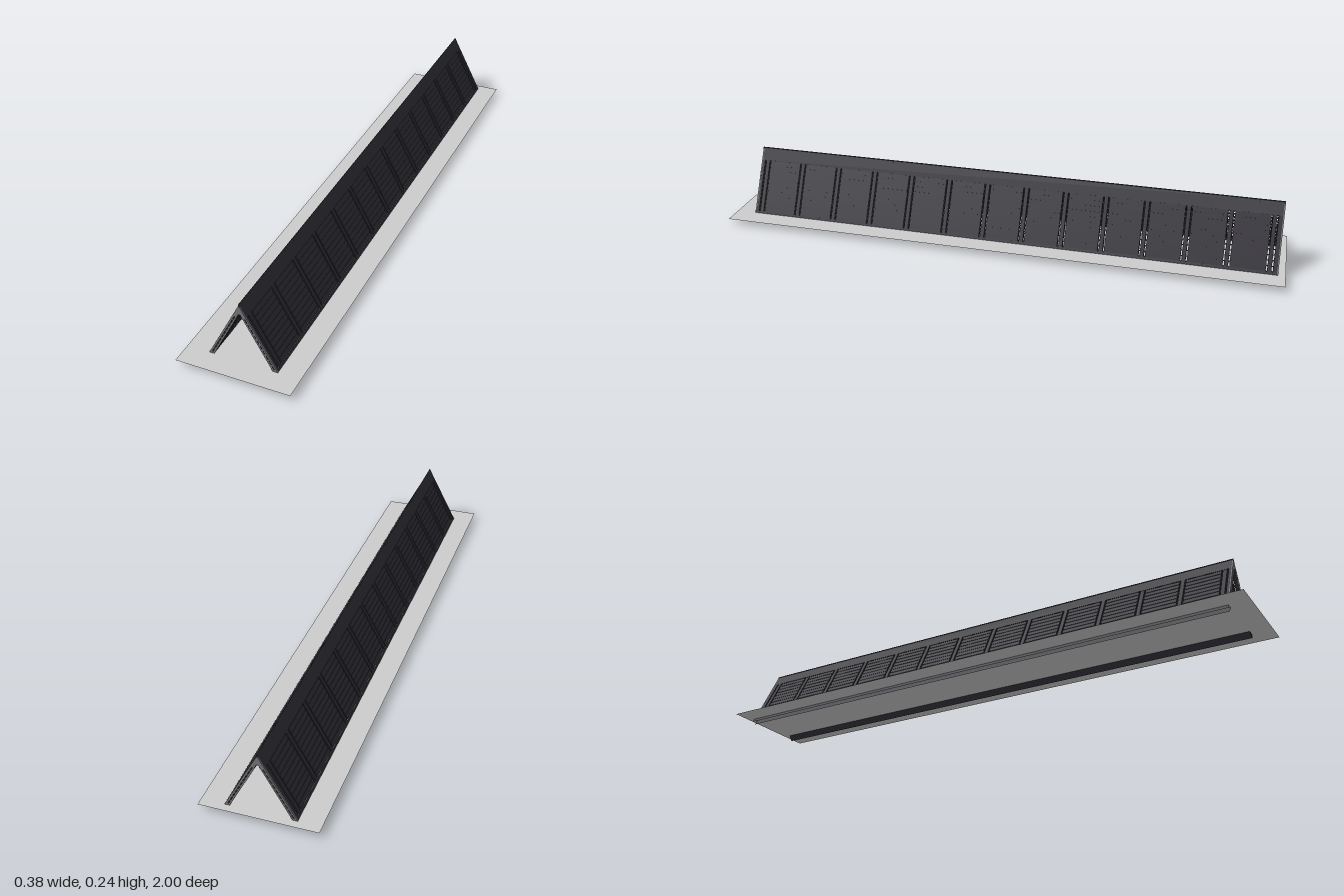
import * as THREE from 'three';

export function createModel() {
  const model = new THREE.Group();
  const dark = new THREE.MeshStandardMaterial({ color: 0x2e2c34, flatShading: true, side: THREE.DoubleSide });
  const metal = new THREE.MeshStandardMaterial({ color: 0x77777a, flatShading: true });
  const grey = new THREE.MeshStandardMaterial({ color: 0xcccccc, side: THREE.DoubleSide });

  const Z0 = -0.975, Z1 = 0.93, LEN = Z1 - Z0, MID = (Z0 + Z1) / 2;
  const GROUND = 0.017, TILT = 0.486;

  // Ground sheet
  const ground = new THREE.Mesh(new THREE.PlaneGeometry(0.38, 2), grey);
  ground.name = 'groundSheet';
  ground.rotation.x = -Math.PI / 2;
  ground.position.y = GROUND;
  model.add(ground);

  // One sloping wall: local y runs up the slope, local x points outwards
  function makeWall(name) {
    const wall = new THREE.Group();
    wall.name = name;
    const box = (part, x0, x1, y0, y1, z0, z1, mat = dark) => {
      const m = new THREE.Mesh(new THREE.BoxGeometry(x1 - x0, y1 - y0, z1 - z0), mat);
      m.position.set((x0 + x1) / 2, (y0 + y1) / 2, (z0 + z1) / 2);
      m.name = part;
      wall.add(m);
    };
    const sheet = (part, x, y0, y1) => {
      const m = new THREE.Mesh(new THREE.PlaneGeometry(LEN, y1 - y0), dark);
      m.rotation.y = Math.PI / 2;
      m.position.set(x, (y0 + y1) / 2, MID);
      m.name = part;
      wall.add(m);
    };
    const LOW = 0.005, HIGH = 0.195, ROWS = 10, BAYS = 13;
    const pitch = (HIGH - LOW) / ROWS, step = 0.1423, first = -0.945;

    // Skirts running into the ground and bands below the ridge
    sheet('outerSkirt', 0.0073, -0.019, LOW);
    sheet('innerSkirt', -0.0073, -0.019, LOW);
    sheet('outerRidgeBand', 0.0075, HIGH, 0.245);
    sheet('innerRidgeBand', -0.0073, HIGH, 0.205);

    for (const [x0, x1] of [[-0.0073, -0.0015], [0.0015, 0.0073]]) {
      // Stiles closing both ends
      box('endStile', x0, x1, LOW, HIGH, Z0 + 0.002, first - 0.012);
      box('endStile', x0, x1, LOW, HIGH, first + BAYS * step + 0.012, Z1 - 0.002);
      for (let i = 0; i <= BAYS; i++) {
        const z = first + i * step;
        box('mullion', x0, x1, LOW, HIGH, z - 0.007, z + 0.007);
        if (i === BAYS) continue;
        // Panel with raised slats on its visible face
        const a = z + 0.0115, b = z + step - 0.0115, s = Math.sign(x0 + x1);
        const back = s > 0 ? [x0, x1 - 0.0015] : [x0 + 0.0015, x1];
        box('panel', back[0], back[1], LOW, HIGH, a, b);
        for (let r = 0; r < ROWS; r++) {
          const y = LOW + r * pitch;
          box('slat', s > 0 ? 0.005 : -0.0073, s > 0 ? 0.0073 : -0.005, y + 0.0015, y + pitch - 0.0015, a, b);
        }
      }
    }
    // Long spacers joining the two layers
    for (let r = 0; r <= ROWS; r++) {
      const y = LOW + r * pitch;
      box('spacerRail', -0.0015, 0.0015, y - 0.002, y + 0.002, Z0 + 0.002, Z1 - 0.002);
    }
    wall.position.set(0.1065, GROUND, 0);
    wall.rotation.z = TILT;
    return wall;
  }
  model.add(makeWall('leftWall'));
  const right = new THREE.Group();
  right.name = 'rightWall';
  right.scale.x = -1;
  right.add(makeWall('mirroredWall'));
  model.add(right);

  // A-shaped end frames, with slots between the two wall layers
  const outline = [[0.115, 0.017], [0.098, 0.017], [0.003, 0.2], [-0.003, 0.2], [-0.098, 0.017],
    [-0.115, 0.017], [-0.003, 0.229], [0.003, 0.229]];
  const frame = new THREE.Shape(outline.map(p => new THREE.Vector2(...p)));
  const dir = new THREE.Vector2(-Math.sin(TILT), Math.cos(TILT));
  const out = new THREE.Vector2(dir.y, -dir.x);
  for (const side of [1, -1]) {
    for (let r = 0; r < 10; r++) {
      const at = (u, v) => {
        const p = new THREE.Vector2(0.1065, GROUND).addScaledVector(dir, u).addScaledVector(out, v);
        p.x *= side;
        return p;
      };
      const u0 = 0.007 + r * 0.019, u1 = u0 + 0.015;
      frame.holes.push(new THREE.Path([at(u0, -0.0015), at(u1, -0.0015), at(u1, 0.0015), at(u0, 0.0015)]));
    }
  }
  const frameGeo = new THREE.ExtrudeGeometry(frame, { depth: 0.004, bevelEnabled: false });
  for (const [name, z] of [['backEndFrame', Z0], ['frontEndFrame', Z1 - 0.004]]) {
    const m = new THREE.Mesh(frameGeo, metal);
    m.name = name;
    m.position.z = z;
    model.add(m);
  }

  // Solid ridge beam
  const ridge = new THREE.Shape([[0.018, 0.2], [0.003, 0.229], [-0.003, 0.229], [-0.018, 0.2]]
    .map(p => new THREE.Vector2(...p)));
  const beam = new THREE.Mesh(new THREE.ExtrudeGeometry(ridge, { depth: LEN - 0.004, bevelEnabled: false }), dark);
  beam.name = 'ridgeBeam';
  beam.position.z = Z0 + 0.002;
  model.add(beam);

  return model;
}
